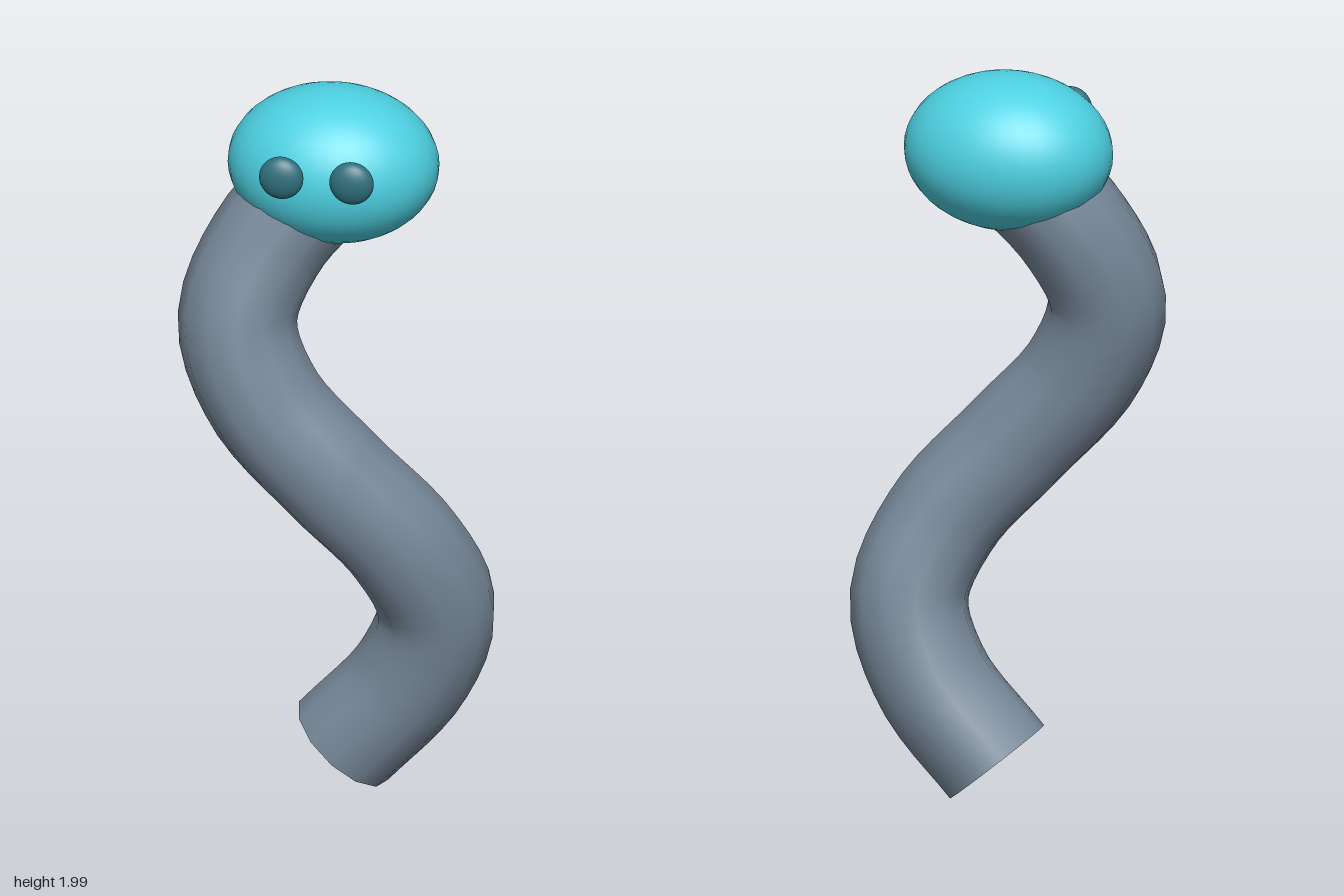
import * as THREE from 'three';

export function createModel() {
  const group = new THREE.Group();
  group.name = 'worm';

  const bodyMat = new THREE.MeshStandardMaterial({ color: 0x778899, side: THREE.DoubleSide });
  const headMat = new THREE.MeshStandardMaterial({ color: 0x4dd0e1 });
  const eyeMat = new THREE.MeshStandardMaterial({ color: 0x2f6f7c });

  // Body: open tube along one full sine wave, swaying forward in the middle
  const sway = [-0.07, -0.065, -0.035, 0.035, 0.09, 0.105, 0.08, 0.015, -0.05];
  const path = new THREE.CatmullRomCurve3(sway.map((z, i) => {
    const t = i / (sway.length - 1);
    return new THREE.Vector3(0.255 * Math.sin(t * Math.PI * 2), 0.11 + 1.68 * t, z);
  }));
  const body = new THREE.Mesh(new THREE.TubeGeometry(path, 40, 0.157, 12, false), bodyMat);
  body.name = 'body';
  group.add(body);

  // Ellipsoid helper
  const ellipsoid = (name, material, position, radii) => {
    const mesh = new THREE.Mesh(new THREE.SphereGeometry(1, 32, 24), material);
    mesh.name = name;
    mesh.position.set(...position);
    mesh.scale.set(...radii);
    group.add(mesh);
  };

  // Head and the two flattened eyes
  ellipsoid('head', headMat, [-0.02, 1.79, -0.035], [0.28, 0.21, 0.226]);
  for (const side of [-1, 1]) {
    ellipsoid(side > 0 ? 'leftEye' : 'rightEye', eyeMat,
      [-0.02 + side * 0.094, 1.843, 0.202], [0.059, 0.059, 0.033]);
  }

  return group;
}
